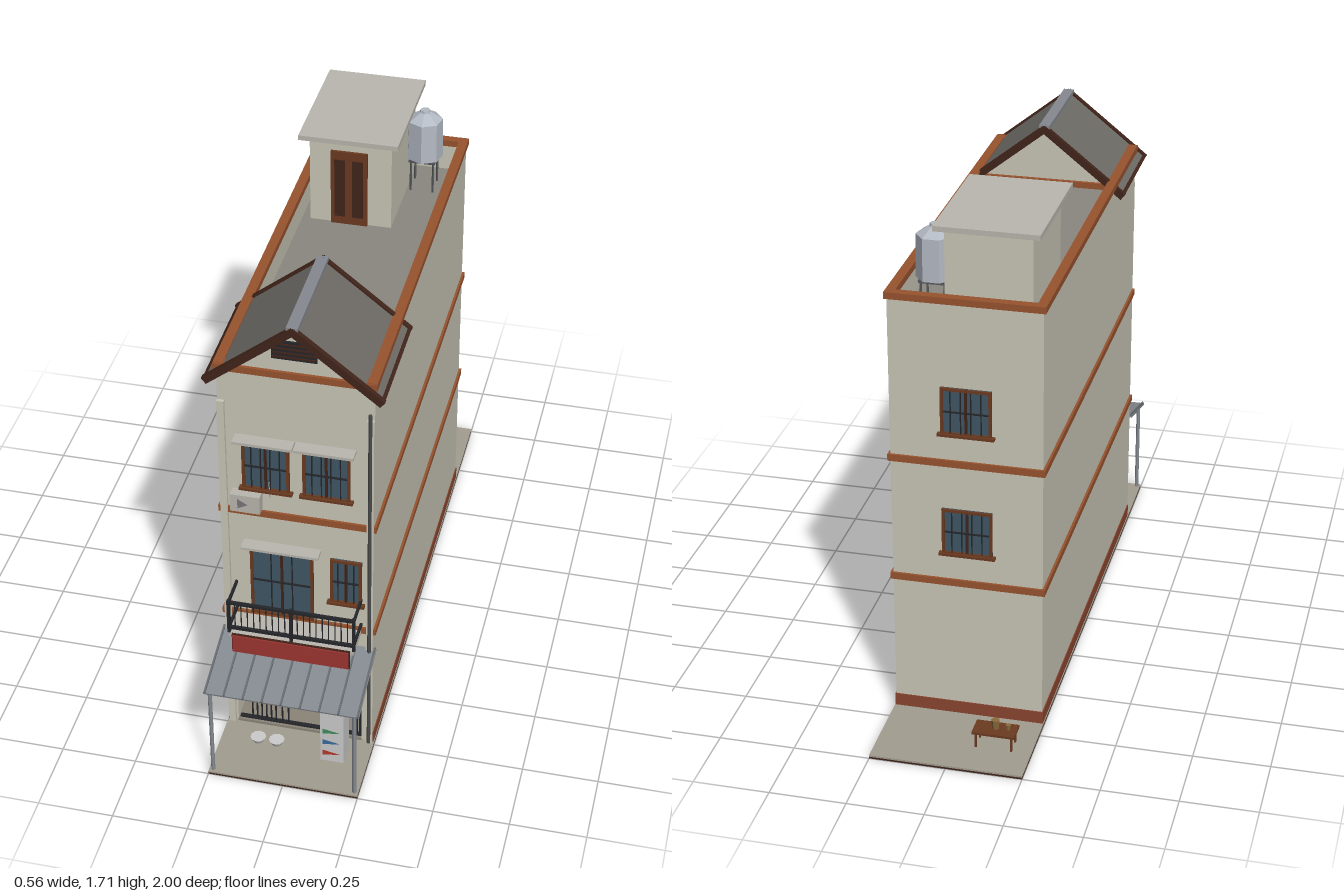
import * as THREE from 'three';

const C = {
  wall: 0xc9c5b6, trim: 0x98532f, plinth: 0x8a4630, wood: 0x6b3a20, darkWood: 0x40241a, dark: 0x24262a,
  glass: 0x3f5664, deck: 0x8a8780, sheet: 0x6e6b66, metal: 0x858a90, light: 0xb9b7ae, white: 0xdfe2e2,
  red: 0x9c3430, shop: 0x3a3030, steel: 0xb4bac4,
};
const mats = {};
const mat = (c) => (mats[c] ??= new THREE.MeshStandardMaterial({ color: c, side: THREE.DoubleSide, flatShading: true }));

export function createModel() {
  const model = new THREE.Group();
  model.name = 'shophouse';

  const add = (name, geo, color, x = 0, y = 0, z = 0, parent = model) => {
    const m = new THREE.Mesh(geo, mat(color));
    m.name = name;
    m.position.set(x, y, z);
    parent.add(m);
    return m;
  };
  // box given by its limits on each axis
  const box = (name, color, x0, x1, y0, y1, z0, z1, parent = model) =>
    add(name, new THREE.BoxGeometry(x1 - x0, y1 - y0, z1 - z0), color, (x0 + x1) / 2, (y0 + y1) / 2, (z0 + z1) / 2, parent);
  const cyl = (name, color, rTop, rBot, y0, y1, x, z, sides = 8, parent = model) =>
    add(name, new THREE.CylinderGeometry(rTop, rBot, y1 - y0, sides), color, x, (y0 + y1) / 2, z, parent);
  const group = (name) => {
    const g = new THREE.Group();
    g.name = name;
    model.add(g);
    return g;
  };
  const polygon = (pts) => new THREE.Shape(pts.map(([x, y]) => new THREE.Vector2(x, y)));
  const extrude = (shape, depth) => new THREE.ExtrudeGeometry(shape, { depth, bevelEnabled: false });

  // ground slab
  box('groundBase', C.darkWood, -0.25, 0.25, 0, 0.006, -1, 1);
  box('groundPaving', 0xa39d90, -0.25, 0.25, 0.006, 0.012, -1, 1);

  // main body and front wall with the shop opening
  const W = 0.245, BACK = -0.695, FRONT = 0.745, DECK = 1.375, TOP = 1.475;
  box('mainBody', C.wall, -W, W, 0.01, DECK - 0.005, BACK, 0.6);
  const front = polygon([[-W, 0.01], [W, 0.01], [W, TOP], [-W, TOP]]);
  front.holes.push(polygon([[-0.215, 0.02], [-0.215, 0.352], [0.207, 0.352], [0.207, 0.02]]));
  add('frontWall', extrude(front, FRONT - 0.6), C.wall, 0, 0, 0.6);

  // sunken roof deck, parapet and its cap
  box('roofDeck', C.deck, -W + 0.01, W - 0.01, DECK - 0.01, DECK, BACK + 0.01, 0.65);
  for (const s of [-1, 1]) {
    const xs = [s * W, s * 0.228].sort((a, b) => a - b);
    box('sideParapet', C.wall, ...xs, DECK - 0.01, TOP, BACK, 0.6);
    const cap = [s * 0.253, s * 0.222].sort((a, b) => a - b);
    box('sideParapetCap', C.trim, ...cap, 1.468, 1.49, BACK - 0.005, 0.75);
  }
  box('backParapet', C.wall, -W, W, DECK - 0.01, TOP, BACK, BACK + 0.017);
  box('backParapetCap', C.trim, -0.253, 0.253, 1.468, 1.49, BACK - 0.007, BACK + 0.023);
  box('frontCornice', C.trim, -0.253, 0.253, 1.465, 1.488, 0.72, 0.755);

  // plinth and floor bands, as hollow rings around the body
  const ring = (name, color, o, y0, y1) => {
    for (const s of [-1, 1]) {
      const xs = [s * W, s * (W + o)].sort((a, b) => a - b);
      box(name, color, ...xs, y0, y1, BACK - o, FRONT + o);
    }
    box(name, color, -W, W, y0, y1, BACK - o, BACK);
    if (y0 > 0.1) box(name, color, -W, W, y0, y1, FRONT, FRONT + o);
  };
  ring('plinth', C.plinth, 0.003, 0.01, 0.055);
  ring('lowerFloorBand', C.trim, 0.008, 0.492, 0.515);
  ring('upperFloorBand', C.trim, 0.008, 0.917, 0.94);

  // front pilasters and drain pipe
  for (const s of [-1, 1]) {
    const xs = [s * 0.245, s * 0.222].sort((a, b) => a - b);
    box('pilaster', C.wall, ...xs, 0.012, 1.35, FRONT, 0.757);
  }
  cyl('drainPipe', 0x4a4a4a, 0.006, 0.006, 0.02, 1.38, 0.234, 0.762);

  // window or glazed door, facing +z or -z
  const glazed = (name, x0, x1, y0, y1, z, dir, bars, sill = true) => {
    const g = group(name);
    const t = 0.009;
    const slab = (n, c, a, b, d, e, near, far) => {
      const zs = [z + dir * near, z + dir * far].sort((p, q) => p - q);
      box(n, c, a, b, d, e, ...zs, g);
    };
    slab('glass', C.glass, x0, x1, y0, y1, 0, 0.004);
    slab('frameSide', C.wood, x0, x0 + t, y0, y1, 0, 0.011);
    slab('frameSide', C.wood, x1 - t, x1, y0, y1, 0, 0.011);
    slab('frameHead', C.wood, x0, x1, y1 - t, y1, 0, 0.011);
    slab('frameFoot', C.wood, x0, x1, y0, y0 + t, 0, 0.011);
    const cx = (x0 + x1) / 2, cy = (y0 + y1) / 2;
    slab('mullion', C.darkWood, cx - 0.004, cx + 0.004, y0, y1, 0, 0.01);
    slab('crossRail', C.dark, x0 + t, x1 - t, cy - 0.002, cy + 0.002, 0.006, 0.012);
    for (let i = 1; i <= bars; i++) {
      const bx = x0 + (x1 - x0) * i / (bars + 1);
      slab('bar', C.dark, bx - 0.0015, bx + 0.0015, y0 + t, y1 - t, 0.006, 0.012);
    }
    if (sill) slab('sill', C.wood, x0 - 0.01, x1 + 0.01, y0 - 0.004, y0 + 0.005, 0, 0.018);
  };
  for (const s of [-1, 1]) {
    const [a, b] = s < 0 ? [-0.172, -0.022] : [0.02, 0.17];
    glazed('upperWindow', a, b, 1.025, 1.205, FRONT, 1, 4);
    box('upperLintel', C.light, a - 0.02, b + 0.018, 1.218, 1.228, FRONT, 0.79);
  }
  glazed('balconyDoor', -0.155, 0.05, 0.515, 0.8, FRONT, 1, 2, false);
  glazed('smallWindow', 0.105, 0.207, 0.608, 0.785, FRONT, 1, 3);
  box('doorLintel', C.light, -0.175, 0.075, 0.803, 0.812, FRONT, 0.79);
  for (const y of [0.608, 1.03]) glazed('backWindow', -0.083, 0.08, y, y + 0.16, BACK, -1, 4);

  // air conditioner
  box('airConditioner', C.light, -0.205, -0.11, 0.952, 1.017, FRONT + 0.005, 0.785);
  add('airConditionerFan', new THREE.CircleGeometry(0.022, 3), 0x77777a, -0.17, 0.985, 0.787);
  cyl('airConditionerPipe', C.light, 0.003, 0.003, 1.0, 1.06, -0.085, 0.752, 6);

  // balcony slab and railing
  box('balconySlab', C.light, -0.205, 0.205, 0.488, 0.505, FRONT, 0.855);
  const rail = group('balconyRailing');
  for (const y of [0.525, 0.628]) {
    box('rail', C.dark, -0.208, 0.208, y - 0.005, y + 0.005, 0.845, 0.855, rail);
    for (const x of [-0.204, 0.204]) box('sideRail', C.dark, x - 0.004, x + 0.004, y - 0.005, y + 0.005, FRONT, 0.85, rail);
  }
  for (const x of [-0.204, 0, 0.204]) box('post', C.dark, x - 0.005, x + 0.005, 0.505, 0.638, 0.845, 0.856, rail);
  for (let i = 1; i < 20; i++) {
    const x = -0.204 + i * 0.0204;
    box('baluster', C.dark, x - 0.0015, x + 0.0015, 0.525, 0.628, 0.8485, 0.8515, rail);
  }

  // plain sign board
  box('signBoard', C.red, -0.19, 0.19, 0.437, 0.503, 0.857, 0.868);
  box('signFrame', C.darkWood, -0.193, 0.193, 0.434, 0.506, 0.856, 0.863);

  // sloped awning with ribs, on two posts
  const awning = group('awning');
  awning.position.set(0, 0.428, FRONT);
  awning.rotation.x = Math.atan2(0.068, 0.253);
  box('awningSheet', C.metal, -0.255, 0.255, -0.004, 0.003, 0, 0.263, awning);
  for (let i = 0; i <= 8; i++) {
    const x = -0.25 + i * 0.0625;
    box('awningRib', 0x666b70, x - 0.003, x + 0.003, 0.002, 0.008, 0, 0.263, awning);
  }
  for (const s of [-1, 1]) cyl('awningPost', C.metal, 0.007, 0.007, 0.01, 0.365, s * 0.237, 0.985);
  box('awningBeam', C.metal, -0.245, 0.245, 0.352, 0.361, 0.979, 0.991);

  // shop interior: back panel, shelves and goods
  box('shopBack', C.shop, -0.215, 0.207, 0.02, 0.352, 0.6, 0.605);
  box('shopFloor', 0x8c8578, -0.215, 0.207, 0.012, 0.022, 0.6, 0.75);
  box('shopKickboard', C.plinth, -0.215, 0.207, 0.022, 0.055, 0.605, 0.612);
  const goods = [0xd8d2c4, 0xb5392e, 0xd68a2c, 0x3c6f9c, 0x4d8148, 0xd9b83a];
  [0.12, 0.2, 0.28].forEach((y, r) => {
    box('shelf', C.wood, -0.2, 0.195, y - 0.006, y, 0.605, 0.685);
    for (let i = 0; i < 15; i++) {
      if ((i + r) % 4 === 3) continue;
      const item = box('goods', goods[(i * 5 + r * 2 + (i >> 1)) % 6], -0.008, 0.008, -0.018, 0.018, -0.012, 0.012);
      item.position.set(-0.18 + i * 0.025, y + 0.02, 0.66);
      item.rotation.z = -0.6;
    }
  });

  // folding gate bars at both sides of the opening
  for (const x of [-0.168, -0.152, -0.136, -0.12, -0.104, -0.088, -0.066, -0.045, 0.19, 0.198, 0.204])
    box('gateBar', C.dark, x - 0.002, x + 0.002, 0.022, 0.352, 0.732, 0.738);
  for (const y of [0.025, 0.345]) box('gateTrack', C.dark, -0.21, 0.205, y - 0.003, y + 0.003, 0.728, 0.742);

  // drinks fridge and bowls on the terrace
  box('fridge', C.white, 0.097, 0.175, 0.018, 0.236, 0.792, 0.872);
  [0x3f8f5c, 0x3a6ea0, 0xb5392e].forEach((c, i) =>
    add('fridgeStripe', new THREE.ShapeGeometry(polygon([[0.105, 0], [0.165, 0.01], [0.105, 0.022]])), c, 0, 0.14 - i * 0.048, 0.8735));
  for (const x of [-0.125, -0.062]) cyl('bowl', C.white, 0.026, 0.014, 0.013, 0.034, x, 0.83, 10);

  // gable roof at the front
  const RIDGE = 1.655, EAVE = 1.44, HALF = 0.27, Z0 = 0.38, Z1 = 0.775;
  const slope = Math.atan2(RIDGE - EAVE, HALF), len = Math.hypot(HALF, RIDGE - EAVE);
  for (const s of [-1, 1]) {
    const side = group(s > 0 ? 'leftRoofSlope' : 'rightRoofSlope');
    side.position.set((s * HALF) / 2, (RIDGE + EAVE) / 2, 0);
    side.rotation.z = -s * slope;
    box('roofSheet', C.sheet, -len / 2, len / 2, -0.004, 0.006, Z0, Z1, side);
    for (const z of [Z0, Z1 - 0.008])
      box('bargeboard', C.darkWood, -len / 2 - 0.006, len / 2 + 0.006, -0.012, 0.012, z - 0.005, z + 0.013, side);
    box('eavesBoard', C.darkWood, s * len / 2 - 0.006, s * len / 2 + 0.006, -0.012, 0.008, Z0, Z1, side);
  }
  box('ridgeCap', C.metal, -0.018, 0.018, 1.655, 1.668, Z0, Z1);
  const gable = polygon([[-0.238, 1.46], [0.238, 1.46], [0, 1.648]]);
  add('frontGable', extrude(gable, 0.02), C.wall, 0, 0, 0.725);
  add('backGable', extrude(gable, 0.01), C.wall, 0, 0, 0.395);
  box('backTieBeam', C.trim, -0.24, 0.24, 1.455, 1.475, 0.382, 0.396);
  box('gableVent', C.dark, -0.07, 0.07, 1.535, 1.6, 0.74, 0.752);
  for (let i = 0; i < 4; i++) box('ventSlat', C.darkWood, -0.068, 0.068, 1.543 + i * 0.015, 1.548 + i * 0.015, 0.75, 0.756);

  // stair hut on the deck
  box('stairHut', C.wall, -0.2, 0.075, DECK - 0.005, 1.695, -0.645, -0.265);
  box('stairHutRoof', C.light, -0.23, 0.102, 1.693, 1.71, -0.68, -0.23);
  box('stairHutDoor', C.wood, -0.128, -0.005, DECK, 1.65, -0.265, -0.256);
  for (const x of [-0.097, -0.037]) box('doorPanel', C.darkWood, x - 0.018, x + 0.018, DECK + 0.03, 1.62, -0.257, -0.253);

  // water tank on a stand
  const TX = 0.127, TZ = -0.555;
  for (const a of [-1, 1]) for (const b of [-1, 1])
    cyl('tankLeg', 0x55585c, 0.004, 0.004, DECK, 1.5, TX + a * 0.038, TZ + b * 0.038, 5);
  box('tankPlatform', 0x55585c, TX - 0.045, TX + 0.045, 1.485, 1.495, TZ - 0.045, TZ + 0.045);
  add('waterTank', new THREE.LatheGeometry([[0, 1.495], [0.063, 1.495], [0.06, 1.635], [0.018, 1.662], [0.016, 1.67], [0, 1.67]]
    .map(([r, y]) => new THREE.Vector2(r, y)), 7), C.steel, TX, 0, TZ);

  // back-yard table with pots
  box('tableTop', C.wood, -0.197, -0.057, 0.064, 0.072, -0.885, -0.81);
  for (const x of [-0.185, -0.069]) for (const z of [-0.875, -0.82])
    box('tableLeg', C.wood, x - 0.003, x + 0.003, 0.012, 0.064, z - 0.003, z + 0.003);
  cyl('pot', 0x8a6a3a, 0.014, 0.011, 0.072, 0.104, -0.127, -0.845, 7);
  cyl('cup', 0x8a6a3a, 0.009, 0.007, 0.072, 0.09, -0.168, -0.843, 6);

  return model;
}
